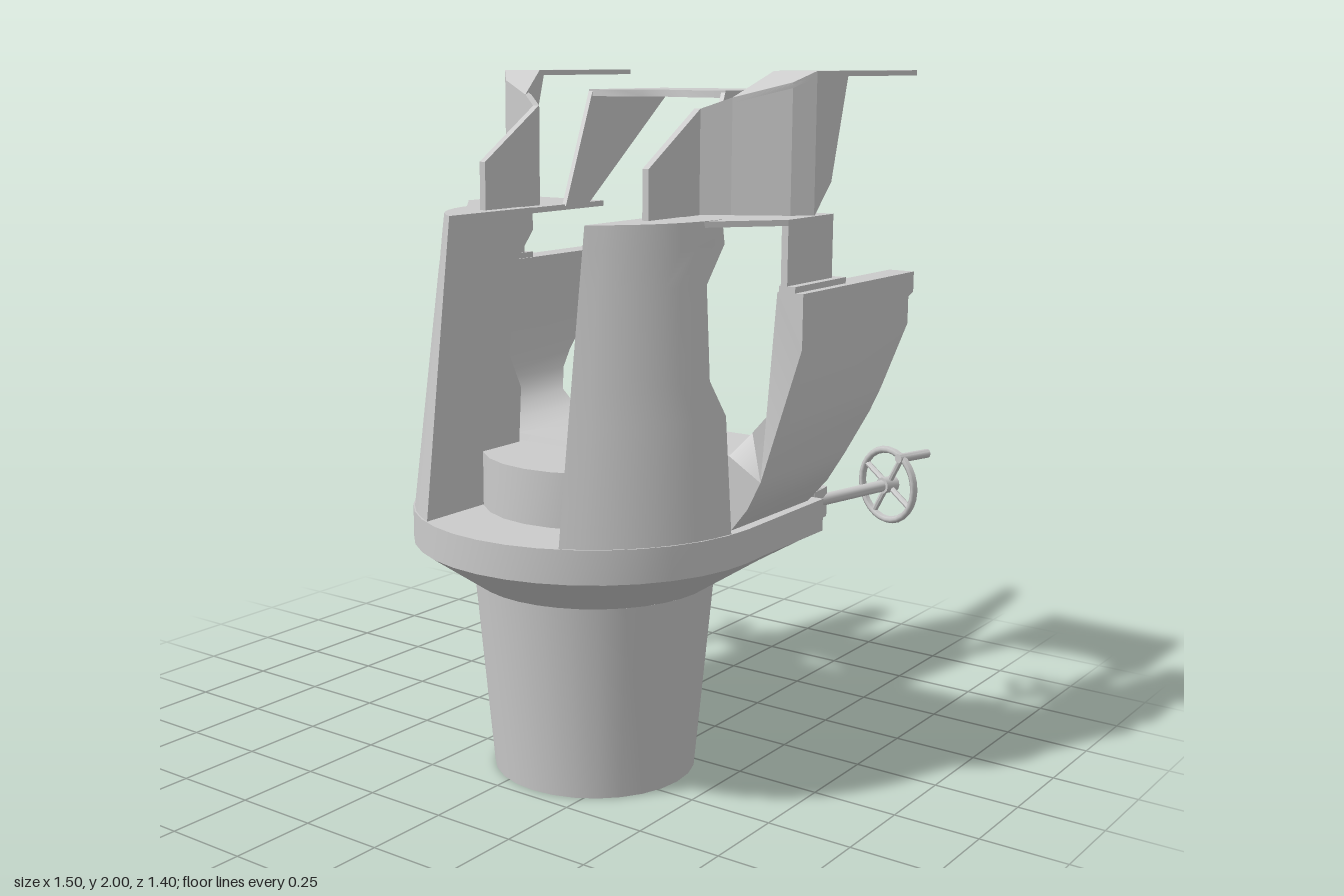
import * as THREE from 'three';
import { toCreasedNormals } from 'three/addons/utils/BufferGeometryUtils.js';

const CZ = 0.17; // z of the turning axis
const mat = new THREE.MeshStandardMaterial({ color: 0xcccccc, side: THREE.DoubleSide });

function add(parent, name, geo, crease = 0.6) {
  const mesh = new THREE.Mesh(toCreasedNormals(geo, crease), mat);
  mesh.name = name;
  parent.add(mesh);
  return mesh;
}

// Solid through rings of [x, y, z] points, closed at both ends
function loft(rings) {
  const n = rings[0].length, idx = [];
  for (let i = 0; i < rings.length - 1; i++) {
    for (let j = 0; j < n; j++) {
      const a = i * n + j, b = i * n + (j + 1) % n;
      idx.push(a, b, b + n, a, b + n, a + n);
    }
  }
  const top = (rings.length - 1) * n;
  for (let j = 1; j < n - 1; j++) idx.push(0, j + 1, j, top, top + j, top + j + 1);
  const geo = new THREE.BufferGeometry();
  geo.setAttribute('position', new THREE.Float32BufferAttribute(rings.flat(2), 3));
  geo.setIndex(idx);
  geo.computeVertexNormals();
  return geo;
}

// Thin plate: corner points thickened by an offset
const slab = (pts, off) => loft([pts, pts.map(p => p.map((v, i) => v + off[i]))]);

// Plan outline of [x, z] extruded upwards
function prism(pts, y0, y1) {
  const shape = new THREE.Shape(pts.map(([x, z]) => new THREE.Vector2(x, -z)));
  return new THREE.ExtrudeGeometry(shape, { depth: y1 - y0, bevelEnabled: false })
    .rotateX(-Math.PI / 2).translate(0, y0, 0);
}

// Side outline of [z, y] extruded along x
function sidePanel(pts, x, t) {
  const shape = new THREE.Shape(pts.map(([z, y]) => new THREE.Vector2(-z, y)));
  return new THREE.ExtrudeGeometry(shape, { depth: t, bevelEnabled: false })
    .rotateY(Math.PI / 2).translate(x, 0, 0);
}

const box = (x0, x1, y0, y1, z0, z1) => new THREE.BoxGeometry(x1 - x0, y1 - y0, z1 - z0)
  .translate((x0 + x1) / 2, (y0 + y1) / 2, (z0 + z1) / 2);

function rod(a, b, r, sides = 12) {
  const p = new THREE.Vector3(...a), d = new THREE.Vector3(...b).sub(p);
  const q = new THREE.Quaternion().setFromUnitVectors(new THREE.Vector3(0, 1, 0), d.clone().normalize());
  return new THREE.CylinderGeometry(r, r, d.length(), sides).applyQuaternion(q)
    .translate(...p.addScaledVector(d, 0.5).toArray());
}

// Piecewise linear lookup in [key, value] pairs
function lerpTable(table, k) {
  for (let i = 1; i < table.length; i++) {
    const [k0, v0] = table[i - 1], [k1, v1] = table[i];
    if (k <= k1) return v0 + (v1 - v0) * (k - k0) / (k1 - k0);
  }
  return table[table.length - 1][1];
}

// Spoked wheel facing local +z, with a crank grip
function handwheel(name, r, gripAngle) {
  const g = new THREE.Group();
  g.name = name;
  add(g, 'rim', new THREE.TorusGeometry(r - 0.011, 0.011, 8, 28), 2);
  add(g, 'hub', rod([0, 0, -0.025], [0, 0, 0.025], 0.025));
  for (let i = 0; i < 4; i++) {
    const a = gripAngle + i * Math.PI / 2;
    add(g, 'spoke', rod([0, 0, 0], [Math.cos(a) * (r - 0.01), Math.sin(a) * (r - 0.01), 0], 0.009, 8));
  }
  const gx = Math.cos(gripAngle) * (r - 0.012), gy = Math.sin(gripAngle) * (r - 0.012);
  add(g, 'grip', rod([gx, gy, -0.015], [gx, gy, 0.11], 0.014));
  return g;
}

export function createModel() {
  const root = new THREE.Group();
  root.name = 'gunMount';
  const body = new THREE.Group();
  body.name = 'body';
  body.position.x = 0.1;
  root.add(body);

  // Hollow tapered pedestal
  add(body, 'pedestal', new THREE.LatheGeometry(
    [[0.295, 0], [0.347, 0.57]].map(p => new THREE.Vector2(...p)), 28).translate(0, 0, CZ), 1);

  // Flare growing into the platform: round in front, square at the back
  const corner = Math.atan2(0.415, 0.515);
  const angles = [corner, Math.PI - corner];
  for (let i = 0; i < 36; i++) angles.push(i * Math.PI / 18);
  angles.sort((a, b) => a - b);
  const ring = (y, radius) => angles.map(a => {
    const r = radius(a);
    return [Math.cos(a) * r, y, CZ - Math.sin(a) * r];
  });
  const edge = a => Math.sin(a) <= 0.001 ? 0.52
    : Math.min(0.515 / Math.abs(Math.cos(a)), 0.415 / Math.sin(a));
  add(body, 'platform', loft([ring(0.57, () => 0.347), ring(0.69, edge), ring(0.785, edge)]), 0.45);
  add(body, 'platformArm', prism([[0.51, 0.15], [0.445, -0.36], [0.1, -0.2], [0.1, 0.1]], 0.69, 0.784));
  add(body, 'armTip', prism([[0.455, -0.3], [0.445, -0.39], [0.4, -0.41], [0.12, -0.235], [0.3, -0.2]], 0.692, 0.783));

  // U-shaped cradle, its front and back ends cut along y-dependent lines
  const outer = [[0.61, 1.42], [0.61, 1.36], [0.61, 1.35], [0.61, 1.27], [0.61, 1.1], [0.605, 1.04],
    [0.58, 0.93], [0.54, 0.85], [0.49, 0.785]];
  const inner = [[0.53, 1.42], [0.53, 1.36], [0.53, 1.35], [0.53, 1.27], [0.53, 1.1], [0.52, 1.05],
    [0.48, 0.99], [0.41, 0.955], [0.32, 0.94]];
  const flip = pts => pts.map(([x, y]) => [-x, y]);
  const profile = [...outer, ...flip(outer).reverse(), ...flip(inner), ...inner.slice().reverse()];
  const cradle = new THREE.ExtrudeGeometry(
    new THREE.Shape(profile.map(p => new THREE.Vector2(...p))), { depth: 1, bevelEnabled: false });
  const frontZ = [[0.785, 0.21], [1.02, 0.21], [1.1, 0.07], [1.13, 0.06], [1.42, 0.06]];
  const backZ = [[0.785, -0.2], [0.94, -0.25], [1.27, -0.55], [1.35, -0.55], [1.36, -0.58], [1.42, -0.58]];
  const pos = cradle.attributes.position;
  for (let i = 0; i < pos.count; i++) {
    pos.setZ(i, lerpTable(pos.getZ(i) > 0.5 ? frontZ : backZ, pos.getY(i)));
  }
  add(body, 'cradle', cradle);
  add(body, 'cradleFloor', new THREE.CylinderGeometry(0.32, 0.32, 0.155, 24).translate(0, 0.8625, CZ));

  // Mirrored side structures
  const colBack = [[0.785, 0.24], [1.1, 0.22], [1.2, 0.27], [1.45, 0.25], [1.55, 0.16], [1.615, 0.16]];
  for (const s of [1, -1]) {
    const side = new THREE.Group();
    side.name = s > 0 ? 'leftSide' : 'rightSide';
    side.scale.x = s;
    body.add(side);

    // Front column: slice of a cone
    add(side, 'column', loft(colBack.map(([y, back]) => {
      const r = 0.515 - 0.098 * (y - 0.785) / 0.83;
      const a0 = Math.acos(0.23 / r), a1 = Math.asin((back - CZ) / r), pts = [];
      for (let i = 0; i <= 8; i++) {
        const a = a0 + (a1 - a0) * i / 8;
        pts.push([Math.cos(a) * r, y, CZ + Math.sin(a) * r]);
      }
      return [...pts, [0.23, y, back]];
    })), 0.5);

    // Shoulder plate with its hanging side plate and foot
    add(side, 'shoulder', prism([[0.23, 0.24], [0.41, 0.24], [0.56, 0.06], [0.56, -0.18], [0.23, -0.18]], 1.598, 1.614));
    add(side, 'shoulderSide', box(0.54, 0.56, 1.43, 1.61, -0.18, 0.06));
    add(side, 'shoulderFoot', box(0.535, 0.585, 1.415, 1.437, -0.215, 0.06));
    if (s < 0) {
      add(side, 'gusset', slab([[0.4, 1.53, 0.16], [0.56, 1.44, 0.06], [0.56, 1.605, 0.06], [0.4, 1.605, 0.16]], [0, 0, -0.02]));
    }

    // Upper shield: bent wall with a rising top edge
    const wall = [[0.29, 0.32, 1.75], [0.29, 0.08, 1.9], [0.36, 0.03, 1.93], [0.5, -0.05, 1.97], [0.545, -0.1, 2]];
    for (let i = 0; i < wall.length - 1; i++) {
      const [x0, z0, y0] = wall[i], [x1, z1, y1] = wall[i + 1];
      add(side, 'shieldWall', slab([[x0, 1.61, z0], [x1, 1.61, z1], [x1, y1, z1], [x0, y0, z0]],
        i ? [-0.008, 0, -0.018] : [-0.02, 0, 0]));
    }
    add(side, 'shieldSlope', slab([[0.41, 2, -0.1], [0.545, 2, -0.1], [0.5, 1.97, -0.05], [0.36, 1.93, 0.03]], [0, -0.015, 0]));
    add(side, 'shieldSide', sidePanel([[-0.1, 1.61], [-0.19, 1.7], [-0.27, 1.985], [-0.1, 1.99]], 0.53, 0.015));
    add(side, 'shieldHorn', prism([[0.41, -0.1], [0.545, -0.1], [0.545, -0.685], [0.497, -0.685]], 1.985, 2));

    // Hood side wall
    add(side, 'hoodSide', sidePanel([[0.01, 1.61], [-0.12, 1.94], [-0.5, 1.94], [-0.5, 1.92], [-0.1, 1.61]], 0.226, 0.014));
  }

  // Hood roof with an arched front edge
  add(body, 'hoodRoof', prism([[-0.24, -0.12], [-0.13, -0.12], [-0.07, -0.155], [0, -0.167], [0.07, -0.155],
    [0.13, -0.12], [0.24, -0.12], [0.24, -0.505], [-0.24, -0.505]], 1.925, 1.945));

  // Training handwheel on the platform arm
  add(root, 'trainingShaft', rod([0.53, 0.742, -0.36], [0.63, 0.757, -0.615], 0.018));
  const training = handwheel('trainingWheel', 0.12, 2.1);
  training.position.set(0.63, 0.757, -0.615);
  training.rotation.y = Math.PI - 0.3;
  root.add(training);

  // Elevating gear on the right cradle arm
  add(root, 'gearDrum', rod([-0.5, 1.27, -0.12], [-0.595, 1.27, -0.12], 0.1, 24));
  add(root, 'gearCover', rod([-0.59, 1.27, -0.12], [-0.605, 1.27, -0.12], 0.085, 24));
  add(root, 'gearColumn', rod([-0.55, 1, -0.24], [-0.55, 1.34, -0.24], 0.035, 16));
  add(root, 'gearBracket', box(-0.58, -0.5, 1.0, 1.17, -0.29, -0.2));
  add(root, 'elevatingShaft', rod([-0.54, 1.045, -0.265], [-0.65, 1.045, -0.265], 0.018));
  const elevating = handwheel('elevatingWheel', 0.11, 2.2);
  elevating.position.set(-0.645, 1.045, -0.265);
  elevating.rotation.y = -Math.PI / 2;
  root.add(elevating);

  return root;
}
